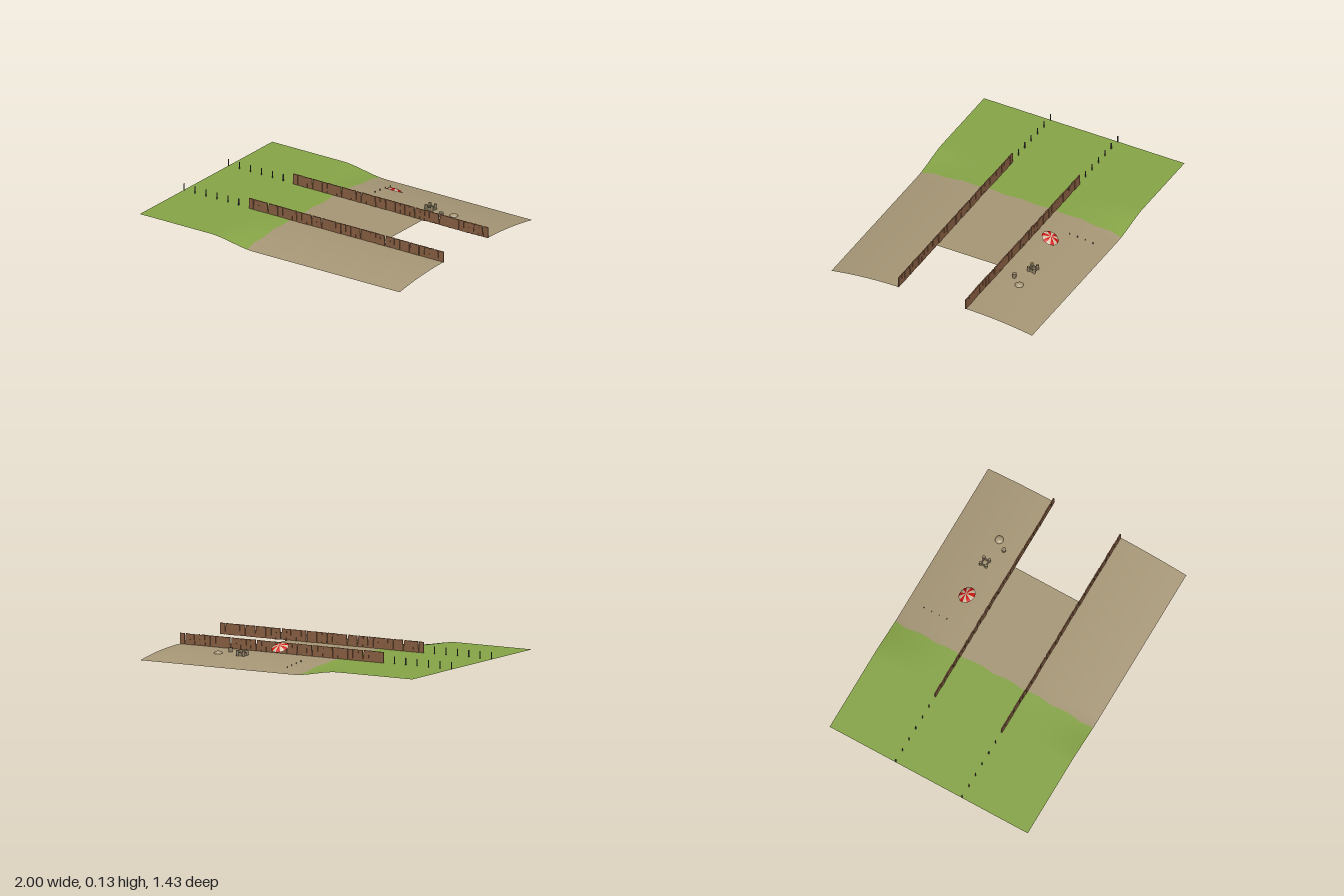
import * as THREE from 'three';

const mat = (name, color, side = THREE.FrontSide) => {
  const m = new THREE.MeshStandardMaterial({ color, side });
  m.name = name;
  return m;
};

// Ground height: a level ridge whose sides fall away on the beach half
const TOP = 0.042;
function groundY(x, z) {
  const t = Math.max(0, (Math.abs(z) - 0.24) / 0.475);
  return TOP * (1 - t * t * THREE.MathUtils.smoothstep(x, -0.46, -0.12));
}

// Gently scalloped line where grass meets sand
const shore = (z) => -0.185 + 0.012 * Math.abs(Math.sin(z * 15));

// Ground sheet between two x limits (functions of z) and two z limits
function groundPatch(x0, x1, z0, z1, nx, nz) {
  const g = new THREE.PlaneGeometry(1, 1, nx, nz);
  g.rotateX(-Math.PI / 2);
  const p = g.attributes.position;
  for (let i = 0; i < p.count; i++) {
    const z = THREE.MathUtils.lerp(z0, z1, p.getZ(i) + 0.5);
    const x = THREE.MathUtils.lerp(x0(z), x1(z), p.getX(i) + 0.5);
    p.setXYZ(i, x, groundY(x, z), z);
  }
  g.computeVertexNormals();
  return g;
}

function seeded(seed) {
  return () => {
    seed = (seed * 16807) % 2147483647;
    return seed / 2147483647;
  };
}

export function createModel() {
  const root = new THREE.Group();
  root.name = 'beach';
  const grass = mat('grass green', 0x88a648, THREE.DoubleSide);
  const sand = mat('sand', 0xa89877, THREE.DoubleSide);
  const wood = mat('fence wood', 0x8a6043);
  const post = mat('post grey', 0x575052);
  const red = mat('parasol red', 0xd01510, THREE.DoubleSide);
  const cream = mat('parasol cream', 0xd2c0a4, THREE.DoubleSide);
  const wetSand = mat('wet sand', 0x968769);

  const add = (parent, name, geo, material, x = 0, y = 0, z = 0) => {
    const m = new THREE.Mesh(geo, material);
    m.name = name;
    m.position.set(x, y, z);
    parent.add(m);
    return m;
  };
  const group = (name) => {
    const g = new THREE.Group();
    g.name = name;
    root.add(g);
    return g;
  };

  // Ground: grass, sand and the two sand arms beside the open channel
  const at = (v) => () => v;
  add(root, 'grass', groundPatch(at(-1), shore, -0.715, 0.715, 40, 80), grass);
  add(root, 'sandMiddle', groundPatch(shore, at(0.5), -0.715, 0.715, 24, 80), sand);
  for (const s of [-1, 1]) {
    const z0 = s < 0 ? -0.715 : 0.235;
    add(root, 'sandArm', groundPatch(at(0.5), at(1), z0, z0 + 0.48, 4, 24), sand);
  }

  // Crooked plank fences and the small posts that continue their lines
  for (const s of [-1, 1]) {
    const rand = seeded(s < 0 ? 4711 : 1234);
    const fence = group(s < 0 ? 'backFence' : 'frontFence');
    const n = 40;
    const step = 1.5 / n;
    for (let i = 0; i < n; i++) {
      const plank = new THREE.BoxGeometry(step * (0.9 + 0.1 * rand()), 0.071, 0.007);
      plank.translate(0, 0.0355, 0);
      const m = add(fence, 'plank', plank, wood,
        -0.5 + (i + 0.5) * step, 0.04, s * (0.24 + (rand() - 0.5) * 0.004));
      const end = i === 0 || i === n - 1;
      m.rotation.set(0, (rand() - 0.5) * 0.08, end ? 0 : (rand() - 0.5) * 0.22);
    }
    const posts = group(s < 0 ? 'backPosts' : 'frontPosts');
    for (let i = 0; i < 6; i++) {
      add(posts, 'post', new THREE.BoxGeometry(0.004, 0.046, 0.006), post,
        -0.997 + i * 0.084, 0.065, s * 0.24);
    }
  }

  // Tilted parasol canopy with alternating wedges
  const parasol = group('parasol');
  const profile = [[0.057, 0], [0.045, 0.008], [0.025, 0.014], [0, 0.017]]
    .map(([r, y]) => new THREE.Vector2(r, y));
  const wedges = 12;
  for (let i = 0; i < wedges; i++) {
    const a = (Math.PI * 2) / wedges;
    add(parasol, 'canopyWedge', new THREE.LatheGeometry(profile, 2, i * a, a), i % 2 ? cream : red);
  }
  parasol.position.set(0.17, 0.106, -0.393);
  parasol.rotation.x = -0.44;

  // Sandcastle: four flared corner towers joined by low walls
  const castle = group('sandcastle');
  castle.position.set(0.434, 0.036, -0.415);
  const tower = new THREE.CylinderGeometry(0.01, 0.009, 0.036, 8);
  for (const sx of [-1, 1]) {
    for (const sz of [-1, 1]) {
      add(castle, 'tower', tower, wetSand, sx * 0.022, 0.017, sz * 0.02);
    }
    add(castle, 'sideWall', new THREE.BoxGeometry(0.007, 0.02, 0.04), wetSand, sx * 0.02, 0.01, 0);
    add(castle, 'crossWall', new THREE.BoxGeometry(0.044, 0.02, 0.007), wetSand, 0, 0.01, sx * 0.018);
  }

  // Single tower and a rounded sand heap beside the castle
  add(root, 'smallTower', new THREE.CylinderGeometry(0.015, 0.012, 0.03, 8), wetSand, 0.56, 0.055, -0.35);
  const heap = add(root, 'sandHeap',
    new THREE.SphereGeometry(0.028, 16, 8, 0, Math.PI * 2, 0, Math.PI / 2), sand, 0.612, 0.035, -0.413);
  heap.scale.y = 0.6;

  // Row of tiny pegs in the sand
  const pegs = group('pegs');
  for (let i = 0; i < 4; i++) {
    const z = -0.6 + i * 0.055;
    add(pegs, 'peg', new THREE.BoxGeometry(0.003, 0.014, 0.004), post, -0.01, groundY(0, z) + 0.005, z);
  }

  return root;
}
